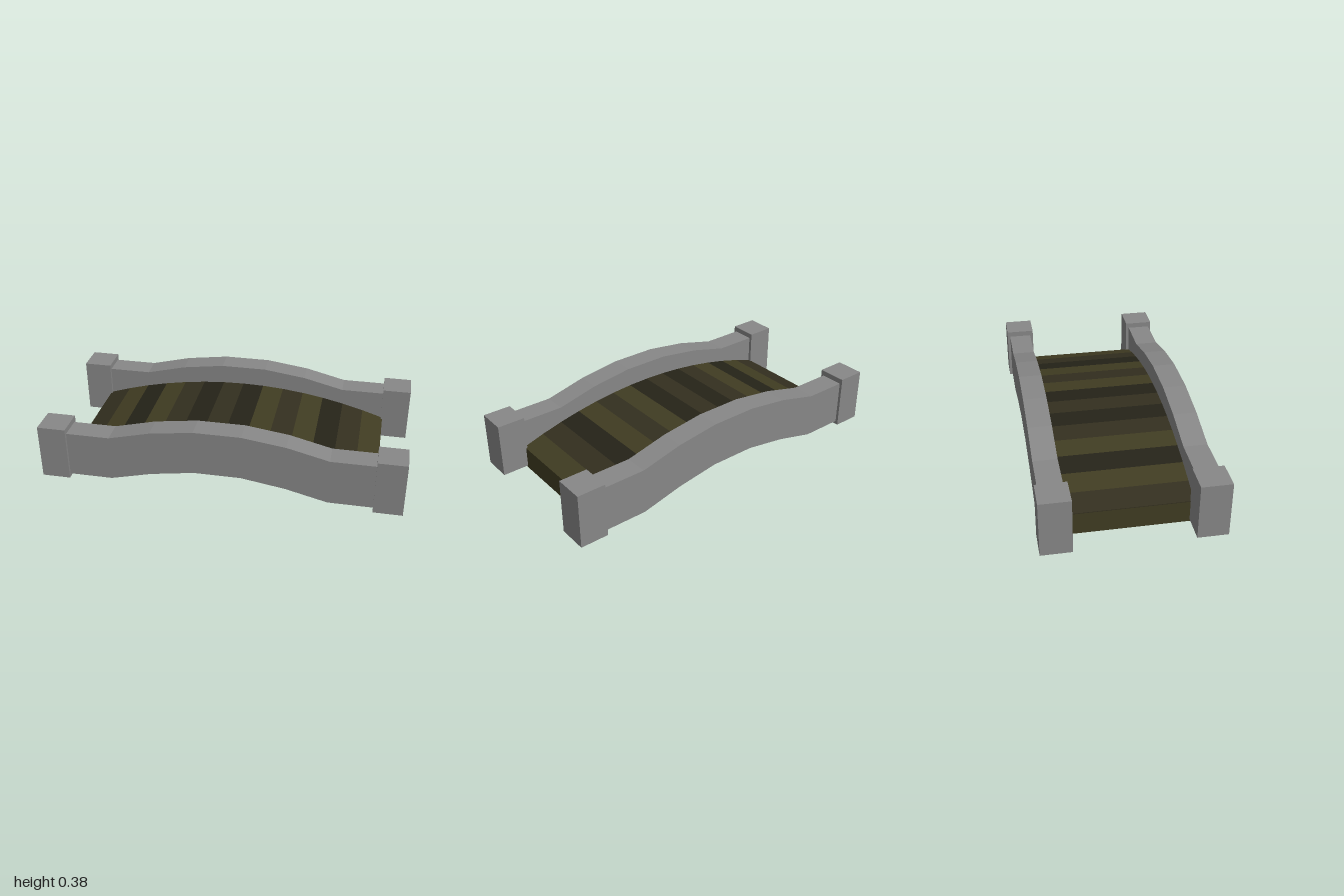
import * as THREE from 'three';

// Extrudes an x/y outline along z, centred on the given z
function extrude(points, depth, z, material, name) {
  const shape = new THREE.Shape(points.map(([x, y]) => new THREE.Vector2(x, y)));
  const geometry = new THREE.ExtrudeGeometry(shape, { depth, bevelEnabled: false });
  geometry.translate(0, 0, z - depth / 2);
  const mesh = new THREE.Mesh(geometry, material);
  mesh.name = name;
  return mesh;
}

export function createModel() {
  const bridge = new THREE.Group();
  bridge.name = 'footbridge';
  const stone = new THREE.MeshStandardMaterial({ color: 0x878787, flatShading: true });
  const woods = [0x252318, 0x332f1f, 0x403c22].map(
    (color) => new THREE.MeshStandardMaterial({ color, flatShading: true }));

  // Arched deck: a slab with stone sides, covered by planks in three wood tones
  const deck = new THREE.Group();
  deck.name = 'deck';
  const tones = [1, 2, 0, 2, 1, 0, 1, 0, 2, 1, 2, 0, 1, 2];
  const half = 0.85, width = 2 * half / tones.length, thickness = 0.127, plank = 0.004;
  const deckTop = (x) => 0.275 - 0.146 * (x / half) ** 2;
  const under = [], over = [];
  for (let i = 0; i <= tones.length; i++) {
    const x = -half + i * width;
    under.push([x, deckTop(x) - thickness]);
    over.unshift([x, deckTop(x) - plank]);
  }
  deck.add(extrude([...under, ...over], 0.66, 0, [stone, woods[2]], 'deckSlab'));
  tones.forEach((tone, i) => {
    const a = -half + i * width, b = a + width;
    deck.add(extrude([
      [a, deckTop(a) - plank], [b, deckTop(b) - plank],
      [b, deckTop(b)], [a, deckTop(a)],
    ], 0.66, 0, woods[tone], 'plank'));
  });
  bridge.add(deck);

  // Arched parapet outline, mirrored about the middle
  const mirror = (pts) => [...pts, ...pts.map(([x, y]) => [-x, y]).reverse()];
  const lower = mirror([[-0.86, 0.033], [-0.6, 0.033], [-0.37, 0.09], [-0.13, 0.128]]);
  const upper = mirror([[-0.86, 0.293], [-0.6, 0.293], [-0.37, 0.35], [-0.13, 0.383]]);
  const outline = [...lower, ...upper.reverse()];

  // A parapet on each side with a square post at each end
  for (const side of [-1, 1]) {
    bridge.add(extrude(outline, 0.13, side * 0.395, stone, 'parapet'));
    for (const end of [-1, 1]) {
      const post = new THREE.Mesh(new THREE.BoxGeometry(0.158, 0.31, 0.164), stone);
      post.position.set(end * 0.921, 0.169, side * 0.394);
      post.name = 'endPost';
      bridge.add(post);
    }
  }
  return bridge;
}
